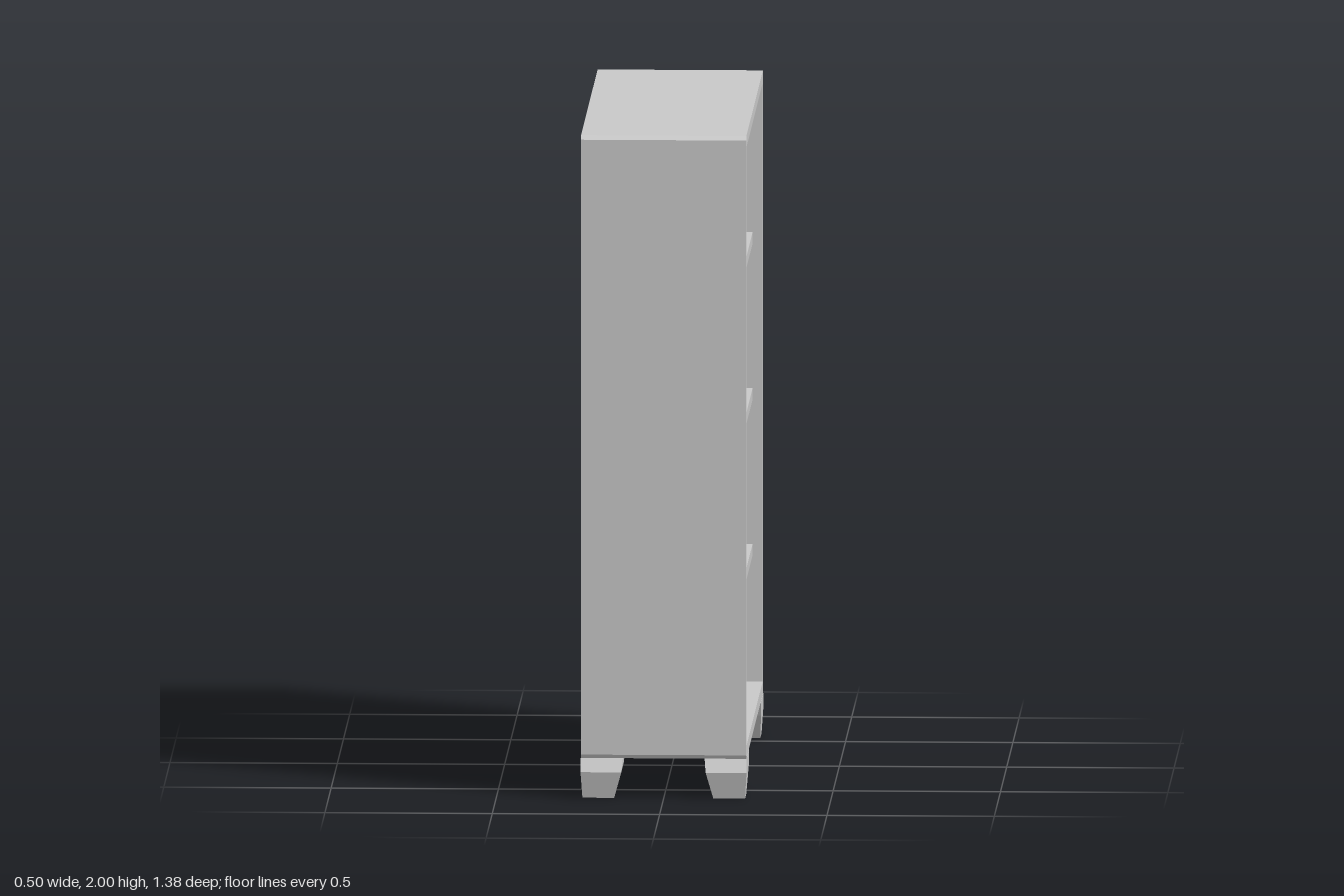
import * as THREE from 'three';

// Outline of the case in the (z, y) plane, with small chamfered corners
function caseOutline() {
  const w = 0.68, lo = 0.12, hi = 2, c = 0.012;
  return new THREE.Shape([
    [-w + c, lo], [w - c, lo], [w, lo + c], [w, hi - c],
    [w - c, hi], [-w + c, hi], [-w, hi - c], [-w, lo + c],
  ].map(([z, y]) => new THREE.Vector2(z, y)));
}

// Extrude an outline along x, from x0 to x1
function extrudeX(shape, x0, x1) {
  const g = new THREE.ExtrudeGeometry(shape, { depth: x1 - x0, bevelEnabled: false });
  g.rotateY(Math.PI / 2);
  g.translate(x0, 0, 0);
  return g;
}

// Tapered foot from three rectangular cross-sections, mirrored by sx and sz
function footGeometry(sx, sz) {
  // y, inner x, outer x, inner z, outer z
  const rings = [
    [0, 0.148, 0.243, 0.566, 0.667],
    [0.08, 0.126, 0.248, 0.483, 0.688],
    [0.12, 0.122, 0.248, 0.466, 0.668],
  ].map(([y, xi, xo, zi, zo]) =>
    [[xo, zo], [xo, zi], [xi, zi], [xi, zo]].map(([x, z]) => [x * sx, y, z * sz]));
  const pos = [];
  const quad = (a, b, c, d) => {
    const order = sx * sz > 0 ? [a, b, c, a, c, d] : [a, c, b, a, d, c];
    order.forEach((p) => pos.push(...p));
  };
  for (let r = 0; r < 2; r++) {
    for (let i = 0; i < 4; i++) {
      const j = (i + 1) % 4;
      quad(rings[r][i], rings[r][j], rings[r + 1][j], rings[r + 1][i]);
    }
  }
  quad(...rings[2]);
  quad(...[...rings[0]].reverse());
  const g = new THREE.BufferGeometry();
  g.setAttribute('position', new THREE.Float32BufferAttribute(pos, 3));
  g.computeVertexNormals();
  return g;
}

export function createModel() {
  const group = new THREE.Group();
  group.name = 'bookcase';
  const paint = new THREE.MeshStandardMaterial({ color: 0xc8c8c8 });
  paint.name = 'light grey';

  const add = (name, geometry) => {
    const mesh = new THREE.Mesh(geometry, paint);
    mesh.name = name;
    group.add(mesh);
    return mesh;
  };

  const back = -0.247, panel = -0.225, front = 0.247;

  // Case: sides, top and bottom in one frame, open towards +x
  const frame = caseOutline();
  frame.holes.push(new THREE.Path([
    [-0.645, 0.158], [-0.645, 1.965], [0.645, 1.965], [0.645, 0.158],
  ].map(([z, y]) => new THREE.Vector2(z, y))));
  add('caseFrame', extrudeX(frame, panel, front));
  add('backPanel', extrudeX(caseOutline(), back, panel));

  // Shelves, set back a little from the opening
  const shelfFront = 0.217;
  [0.557, 1.027, 1.498].forEach((y, i) => {
    const shelf = add(`shelf${i + 1}`, new THREE.BoxGeometry(shelfFront - panel, 0.034, 1.29));
    shelf.position.set((shelfFront + panel) / 2, y, 0);
  });

  // Four feet
  for (const sx of [1, -1]) {
    for (const sz of [1, -1]) {
      add(`${sz > 0 ? 'front' : 'back'}${sx > 0 ? 'Left' : 'Right'}Foot`, footGeometry(sx, sz));
    }
  }
  return group;
}
